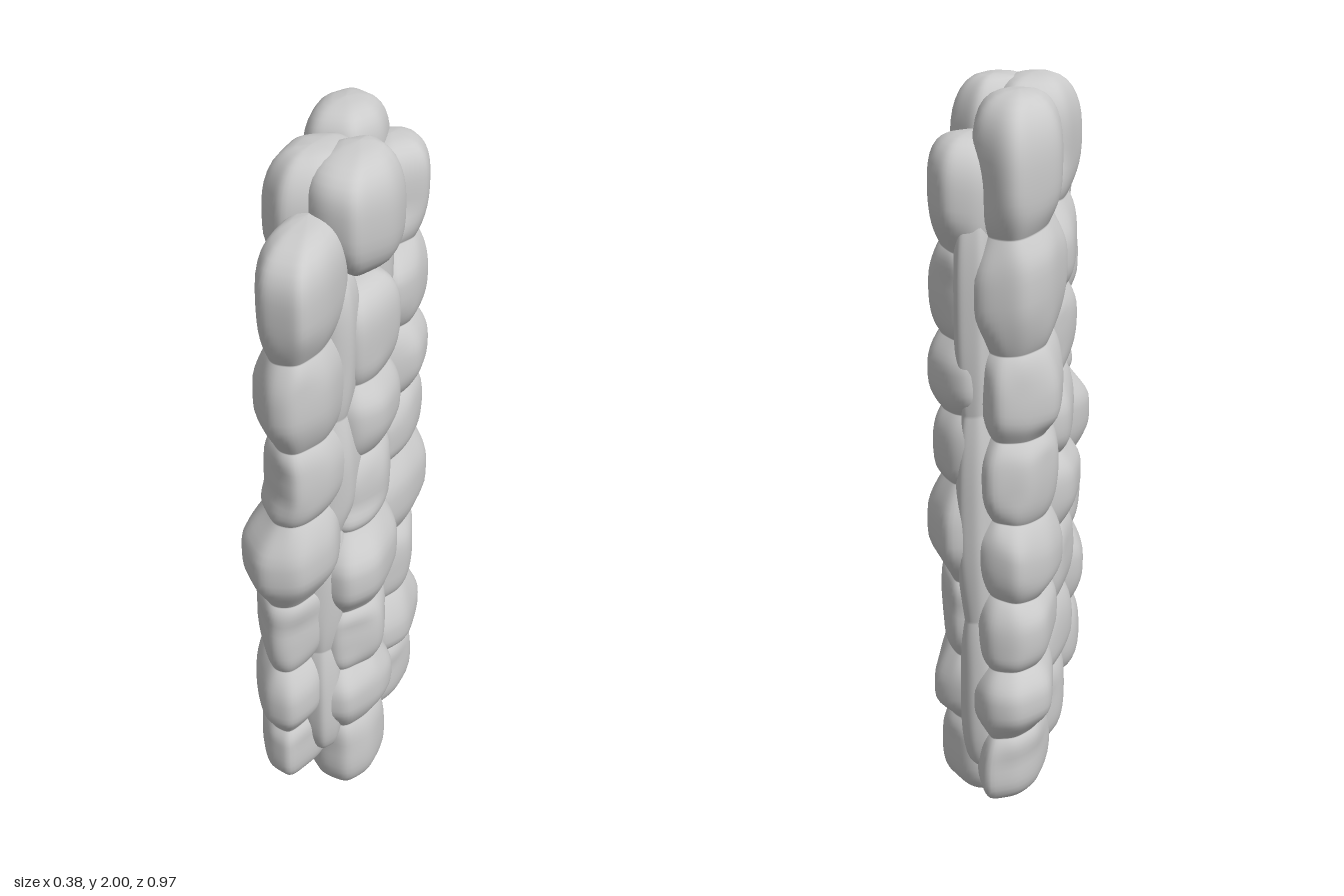
import * as THREE from 'three';

const material = new THREE.MeshStandardMaterial({ color: 0xcccccc, roughness: 0.9 });
const SEGMENTS = 64;
const STEPS = 18;

// small seeded random generator
function seeded(seed) {
  let s = seed;
  return () => ((s = (s * 16807) % 2147483647) / 2147483647);
}

// outline of one stone in plan: a softened irregular octagon fitted to its bounds
function stoneOutline([, , x0, x1, z0, z1], rand) {
  const sides = [];
  for (let i = 0; i < 8; i++) {
    const a = (i / 8) * Math.PI * 2 + (rand() - 0.5) * 0.5;
    sides.push({ a, h: i % 2 ? 0.9 + rand() * 0.2 : 1 });
  }
  const points = [];
  for (let j = 0; j < SEGMENTS; j++) {
    const t = (j / SEGMENTS) * Math.PI * 2;
    let sum = 0;
    for (const { a, h } of sides) sum += Math.pow(Math.max(0, Math.cos(t - a) / h), 13);
    const r = Math.pow(sum, -1 / 13);
    points.push(new THREE.Vector2(r * Math.cos(t), r * Math.sin(t)));
  }
  const box = new THREE.Box2().setFromPoints(points);
  const size = box.getSize(new THREE.Vector2());
  for (const p of points) {
    p.sub(box.min).divide(size);
    p.set(x0 + p.x * (x1 - x0), z0 + p.y * (z1 - z0));
  }
  return {
    points,
    center: new THREE.Vector2((x0 + x1) / 2, (z0 + z1) / 2),
    tilt: (rand() - 0.5) * 0.07,
    turn: rand() * Math.PI * 2,
  };
}

// one column: stone outlines lofted upwards, pinched at the joints, rounded at both ends
function columnGeometry(stones, lean, rand) {
  const outlines = stones.map((s) => stoneOutline(s, rand));
  const last = stones.length - 1;
  const joints = stones.map((s, i) => (i ? (s[0] + stones[i - 1][1]) / 2 : s[0]));
  joints.push(stones[last][1]);
  const positions = [];
  const p = new THREE.Vector2();
  const c = new THREE.Vector2();
  const scale = new THREE.Vector2();

  stones.forEach((stone, i) => {
    for (let k = i ? 1 : 0; k <= STEPS; k++) {
      const t = (1 - Math.cos((k / STEPS) * Math.PI)) / 2;
      const u = Math.abs(2 * t - 1);
      const isEnd = (i === 0 && t < 0.5) || (i === last && t > 0.5);
      if (isEnd) scale.setScalar(Math.pow(Math.max(0, 1 - Math.pow(u, 2.7)), 1 / 2.7));
      else scale.set(1 - 0.27 * Math.pow(u, 2.6), 1 - 0.18 * Math.pow(u, 2.6));
      const own = outlines[i];
      const other = isEnd ? own : outlines[t < 0.5 ? i - 1 : i + 1];
      const mix = 0.5 * THREE.MathUtils.smoothstep(u, 0.25, 1);
      c.lerpVectors(own.center, other.center, mix);
      if (isEnd) c.y += lean * u * u;
      for (let j = 0; j < SEGMENTS; j++) {
        const a = (j / SEGMENTS) * Math.PI * 2;
        p.lerpVectors(own.points[j], other.points[j], mix).sub(c).multiply(scale).add(c);
        const wave = (o) => o.tilt * Math.cos(a - o.turn);
        const sway = THREE.MathUtils.lerp(wave(own), wave(other), mix) * (isEnd ? 1 - u * u : 1);
        positions.push(p.x, THREE.MathUtils.lerp(joints[i], joints[i + 1], t) + sway, p.y);
      }
    }
  });

  const index = [];
  const rows = positions.length / 3 / SEGMENTS;
  for (let k = 0; k < rows - 1; k++) {
    for (let j = 0; j < SEGMENTS; j++) {
      const a = k * SEGMENTS + j;
      const b = k * SEGMENTS + ((j + 1) % SEGMENTS);
      index.push(a, a + SEGMENTS, b, b, a + SEGMENTS, b + SEGMENTS);
    }
  }
  const geo = new THREE.BufferGeometry();
  geo.setAttribute('position', new THREE.Float32BufferAttribute(positions, 3));
  geo.setIndex(index);
  geo.computeVertexNormals();
  return geo;
}

// each stone: bottom, top, x from, x to, z from, z to; lean shifts the rounded ends along z
const columns = {
  leftFrontColumn: { lean: 0, stones: [
    [0.005, 0.28, -0.06, 0.165, -0.03, 0.3],
    [0.26, 0.49, -0.06, 0.185, -0.01, 0.34],
    [0.48, 0.72, -0.06, 0.175, -0.03, 0.32],
    [0.7, 0.99, -0.06, 0.19, -0.04, 0.34],
    [0.97, 1.19, -0.06, 0.165, -0.07, 0.28],
    [1.18, 1.41, -0.06, 0.175, -0.1, 0.25],
    [1.39, 1.67, -0.06, 0.17, -0.07, 0.24],
  ] },
  leftFrontCapstone: { lean: -0.05, stones: [
    [1.68, 2.0, -0.06, 0.175, -0.1, 0.26],
  ] },
  leftBackColumn: { lean: 0, stones: [
    [0.005, 0.28, -0.06, 0.165, -0.38, -0.03],
    [0.26, 0.49, -0.06, 0.185, -0.39, -0.01],
    [0.48, 0.72, -0.06, 0.175, -0.38, -0.03],
    [0.7, 1.0, -0.06, 0.19, -0.43, -0.02],
    [0.98, 1.19, -0.06, 0.17, -0.42, -0.06],
    [1.18, 1.4, -0.06, 0.185, -0.43, -0.08],
    [1.38, 1.63, -0.06, 0.175, -0.42, -0.09],
    [1.61, 1.9, -0.05, 0.175, -0.43, -0.15],
  ] },
  frontColumn: { lean: -0.07, stones: [
    [0.13, 0.37, -0.17, 0.03, 0.1, 0.43],
    [0.36, 0.61, -0.18, 0.04, 0.1, 0.45],
    [0.6, 0.85, -0.16, 0.04, 0.1, 0.44],
    [0.83, 1.11, -0.18, 0.08, 0.1, 0.485],
    [1.09, 1.32, -0.12, 0.09, 0.1, 0.45],
    [1.31, 1.59, -0.14, 0.08, 0.1, 0.48],
    [1.57, 1.88, -0.12, 0.08, 0.13, 0.48],
  ] },
  rightMiddleColumn: { lean: 0.02, stones: [
    [0.01, 0.29, -0.15, 0.05, -0.19, 0.22],
    [0.27, 0.52, -0.17, 0.05, -0.22, 0.22],
    [0.5, 0.75, -0.17, 0.05, -0.22, 0.23],
    [0.73, 0.99, -0.19, 0.05, -0.21, 0.22],
    [0.97, 1.21, -0.175, 0.05, -0.22, 0.21],
    [1.19, 1.45, -0.17, 0.05, -0.22, 0.21],
    [1.42, 1.71, -0.175, 0.05, -0.2, 0.21],
    [1.68, 2.0, -0.17, 0.07, -0.1, 0.24],
  ] },
  backColumn: { lean: 0.02, stones: [
    [0.03, 0.27, -0.14, 0.07, -0.46, -0.09],
    [0.25, 0.48, -0.165, 0.07, -0.485, -0.09],
    [0.46, 0.69, -0.16, 0.07, -0.46, -0.1],
    [0.67, 0.91, -0.175, 0.07, -0.46, -0.1],
    [0.89, 1.15, -0.165, 0.07, -0.45, -0.09],
    [1.13, 1.39, -0.175, 0.07, -0.455, -0.1],
    [1.37, 1.69, -0.175, 0.07, -0.455, -0.1],
    [1.67, 2.0, -0.17, 0.06, -0.46, -0.1],
  ] },
  // fillings in the grooves between neighbouring columns
  leftFilling: { lean: 0, stones: [
    [0.12, 0.5, 0, 0.1, -0.12, 0.08],
    [0.5, 1.0, 0, 0.11, -0.12, 0.08],
    [1.0, 1.4, 0, 0.12, -0.17, 0.02],
    [1.4, 1.78, 0, 0.12, -0.2, 0.0],
  ] },
  frontLeftFilling: { lean: 0, stones: [
    [0.2, 0.6, -0.05, 0.08, 0.18, 0.36],
    [0.6, 1.0, -0.05, 0.09, 0.18, 0.36],
    [1.0, 1.35, -0.05, 0.11, 0.14, 0.33],
    [1.35, 1.75, -0.05, 0.1, 0.12, 0.3],
  ] },
  frontRightFilling: { lean: 0, stones: [
    [0.2, 0.6, -0.13, 0, 0.08, 0.28],
    [0.6, 1.1, -0.14, 0, 0.08, 0.28],
    [1.1, 1.75, -0.11, 0, 0.08, 0.28],
  ] },
  backRightFilling: { lean: 0, stones: [
    [0.1, 0.6, -0.12, 0, -0.26, -0.06],
    [0.6, 1.2, -0.13, 0, -0.26, -0.06],
    [1.2, 1.78, -0.13, 0, -0.26, -0.06],
  ] },
  backLeftFilling: { lean: 0, stones: [
    [0.12, 0.6, -0.03, 0.09, -0.42, -0.25],
    [0.6, 1.2, -0.03, 0.1, -0.43, -0.25],
    [1.2, 1.78, -0.03, 0.1, -0.43, -0.25],
  ] },
};

export function createModel() {
  const model = new THREE.Group();
  model.name = 'stackedStonePillar';
  const rand = seeded(90731);
  for (const [name, { stones, lean }] of Object.entries(columns)) {
    const column = new THREE.Mesh(columnGeometry(stones, lean, rand), material);
    column.name = name;
    model.add(column);
  }
  return model;
}
